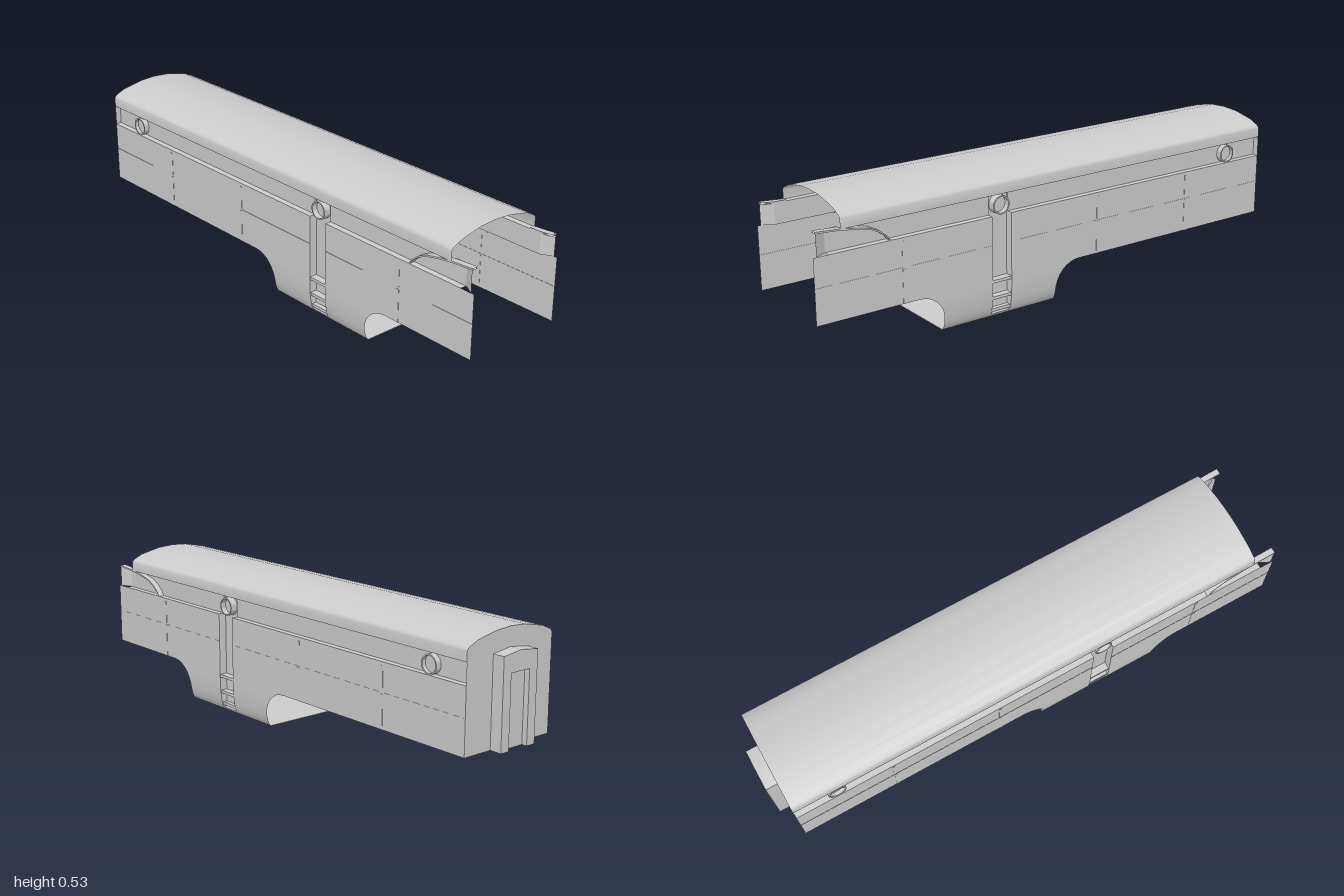
import * as THREE from 'three';
import { toCreasedNormals } from 'three/addons/utils/BufferGeometryUtils.js';

const mat = new THREE.MeshStandardMaterial({ color: 0xcccccc, side: THREE.DoubleSide });

const OUT = 0.195, BAND = 0.172, WELL = 0.165;   // half widths: skin, recessed band, step well
const SILL = 0.143, LEDGE = 0.375, EAVE = 0.45;  // heights
const FRONT = 1, BACK = -0.955;
const COL0 = 0.235, COL1 = 0.315;                // step column, along z

function add(parent, name, geometry) {
  const m = new THREE.Mesh(geometry, mat);
  m.name = name;
  parent.add(m);
  return m;
}

// Surface through rows of [x, y, z] points
function loft(rows, crease = 0.6) {
  const n = rows[0].length, index = [];
  for (let r = 0; r < rows.length - 1; r++)
    for (let i = 0; i < n - 1; i++) {
      const a = r * n + i, b = a + n;
      index.push(a, b, a + 1, a + 1, b, b + 1);
    }
  const g = new THREE.BufferGeometry();
  g.setAttribute('position', new THREE.Float32BufferAttribute(rows.flat(2), 3));
  g.setIndex(index);
  return toCreasedNormals(g, crease);
}

// Sweep an [x, y] section straight along z
const sweep = (section, z0, z1) =>
  loft(section.map(([x, y]) => [[x, y, z1], [x, y, z0]]));

function box(parent, name, x0, x1, y0, y1, z0, z1) {
  const g = new THREE.BoxGeometry(x1 - x0, y1 - y0, z1 - z0);
  add(parent, name, g.translate((x0 + x1) / 2, (y0 + y1) / 2, (z0 + z1) / 2));
}

// Tank skirt: half width tucks in near the bottom
const tuck = [[0, 0.171], [0.006, 0.178], [0.02, 0.184], [0.04, 0.189], [0.07, 0.193], [0.11, OUT], [1, OUT]];
function skinX(y) {
  for (let i = 1; i < tuck.length; i++) {
    const [y0, x0] = tuck[i - 1], [y1, x1] = tuck[i];
    if (y <= y1) return x0 + (x1 - x0) * (y - y0) / (y1 - y0);
  }
  return OUT;
}
// Tank skirt: distance its ends flare out at height y
function flare(y) {
  const t = Math.max(0, (y - 0.045) / (SILL - 0.045));
  return 0.1 * (1 - Math.sqrt(Math.max(0, 1 - t * t)));
}
const TANK0 = 0.037, TANK1 = 0.513;
const skirtY = [0, 0.006, 0.02, 0.04, 0.06, 0.08, 0.1, 0.115, 0.127, 0.136, 0.141, SILL].reverse();

function porthole(parent, z, base) {
  const g = new THREE.Group();
  g.name = 'porthole';
  const depth = 0.193 - base;
  const profile = [[0.034, 0], [0.034, depth], [0.029, depth], [0.029, 0]];
  const ring = new THREE.LatheGeometry(profile.map(p => new THREE.Vector2(...p)), 28);
  add(g, 'portholeRing', toCreasedNormals(ring, 0.6));
  add(g, 'portholeGlass', new THREE.CylinderGeometry(0.029, 0.029, 0.003, 28)).position.y = 0.006;
  g.rotation.z = -Math.PI / 2;
  g.position.set(base, 0.409, z);
  parent.add(g);
}

function buildSide() {
  const side = new THREE.Group();
  side.name = 'leftSide';

  // Lower panel and tank skirt, fore and aft of the step column
  const row = (y, z1, z0) => [[skinX(y), y, z1], [skinX(y), y, z0]];
  add(side, 'frontSidePanel', loft([row(LEDGE, FRONT, COL1), row(SILL, FRONT, COL1)]));
  add(side, 'rearSidePanel', loft([row(LEDGE, COL0, BACK), row(SILL, COL0, BACK)]));
  add(side, 'frontTankSkirt', loft(skirtY.map(y => row(y, TANK1 + flare(y), COL1))));
  add(side, 'rearTankSkirt', loft(skirtY.map(y => row(y, COL0, TANK0 - flare(y)))));
  add(side, 'skirtUnderStep', loft([0.012, 0.006, 0].map(y => row(y, COL1, COL0))));

  // Recessed window band with its ledge and eave
  const band = [[OUT, EAVE], [BAND, EAVE], [BAND, LEDGE], [OUT, LEDGE]];
  add(side, 'rearWindowBand', sweep(band, BACK, COL0));
  add(side, 'frontWindowBand', sweep(band, COL1, 0.9));

  // Nose end of the band, turning out to the skin
  const plan = [[BAND, 0.9], [BAND, 0.945], [OUT, 0.988]];
  add(side, 'noseBand', loft([
    plan.map(([x, z]) => [x, 0.455, z]),
    plan.map(([x, z]) => [x, LEDGE, z]),
  ], 0.2));
  add(side, 'noseLedge', sweep([[BAND, LEDGE], [OUT, LEDGE]], 0.9, 0.945));

  // Curved brow rising from the ledge to the nose
  const brow = [[0.715, 0.375], [0.73, 0.395], [0.755, 0.415], [0.79, 0.432], [0.84, 0.443], [0.9, 0.452], [0.99, 0.459]];
  const edge = (x, d) => ([z, y]) => [x, y - d, z];
  add(side, 'brow', loft([
    brow.map(edge(BAND, 0)), brow.map(edge(OUT, 0)), brow.map(edge(OUT, 0.006)), brow.map(edge(BAND, 0.006)),
  ]));

  // Recessed step column
  add(side, 'stepWellBack', loft([EAVE, 0.012].map(y => [[WELL, y, COL1], [WELL, y, COL0]])));
  const wallY = [LEDGE, SILL, 0.11, 0.07, 0.04, 0.02, 0.012];
  for (const z of [COL0, COL1]) {
    add(side, 'stepWellWall', loft(wallY.map(y => [[WELL, y, z], [skinX(y), y, z]])));
    add(side, 'stepWellUpperWall', loft([EAVE, LEDGE].map(y => [[WELL, y, z], [BAND, y, z]])));
  }
  for (const y of [EAVE, 0.012])
    add(side, 'stepWellCap', sweep([[WELL, y], [skinX(y), y]], COL0, COL1));
  for (const y of [0.13, 0.068, 0.02])
    box(side, 'stepTread', WELL, skinX(y) - 0.002, y, y + 0.011, COL0, COL1);

  porthole(side, 0.275, WELL);
  porthole(side, -0.79, BAND);

  // Seam strips on the panels
  for (const z of [0.67, -0.15, -0.577]) {
    box(side, 'lowerSeam', OUT - 0.001, OUT + 0.001, SILL, 0.265, z - 0.006, z + 0.006);
    box(side, 'upperSeam', OUT - 0.001, OUT + 0.001, 0.275, 0.362, z - 0.006, z + 0.006);
  }
  box(side, 'frontRail', OUT - 0.001, OUT + 0.0008, 0.269, 0.271, COL1, FRONT);
  box(side, 'rearRail', OUT - 0.001, OUT + 0.0008, 0.269, 0.271, BACK, COL0);
  return side;
}

const toShape = pts => new THREE.Shape(pts.map(p => new THREE.Vector2(...p)));
const mirrored = half => [...half, ...half.filter(p => p[0] > 0).reverse().map(([x, y]) => [-x, y])];

export function createModel() {
  const model = new THREE.Group();
  model.name = 'carBody';

  const left = buildSide();
  const right = left.clone();
  right.name = 'rightSide';
  right.scale.x = -1;
  model.add(left, right);

  // Arched roof
  const halfRoof = [[OUT, EAVE], [OUT, 0.484], [0.192, 0.491], [0.184, 0.497], [0.15, 0.512], [0.11, 0.521], [0.065, 0.53], [0, 0.534]];
  const roof = mirrored(halfRoof);
  add(model, 'roof', sweep(roof.slice().reverse(), BACK, 0.9));

  // Tank floor
  add(model, 'tankFloor', new THREE.BoxGeometry(0.342, 0.002, TANK1 - TANK0))
    .position.set(0, 0.001, (TANK0 + TANK1) / 2);

  // Rear wall with an opening into the gangway
  const gangway = mirrored([[0.078, SILL], [0.078, 0.457], [0, 0.467]]);
  const rearWall = toShape([...mirrored([[OUT, SILL], ...halfRoof])]);
  const opening = gangway.map(([x, y]) => [x, y === SILL ? SILL + 0.0005 : y]);
  rearWall.holes.push(new THREE.Path(opening.map(p => new THREE.Vector2(...p))));
  add(model, 'rearWall', new THREE.ShapeGeometry(rearWall)).position.z = BACK;

  // Hollow gangway with a recessed door
  const doorHalf = 0.042, doorTop = 0.398, doorZ = -0.98;
  add(model, 'gangwayWalls', sweep(gangway.slice().reverse(), -1, BACK));
  const face = toShape([
    [doorHalf, SILL], [0.078, SILL], [0.078, 0.457], [0, 0.467], [-0.078, 0.457],
    [-0.078, SILL], [-doorHalf, SILL], [-doorHalf, doorTop], [doorHalf, doorTop],
  ]);
  add(model, 'gangwayFace', new THREE.ShapeGeometry(face)).position.z = -1;
  const frame = [[-doorHalf, SILL], [-doorHalf, doorTop], [doorHalf, doorTop], [doorHalf, SILL]];
  add(model, 'doorFrame', sweep(frame, -1, doorZ));
  add(model, 'door', new THREE.ShapeGeometry(toShape(frame))).position.z = doorZ;

  return model;
}
